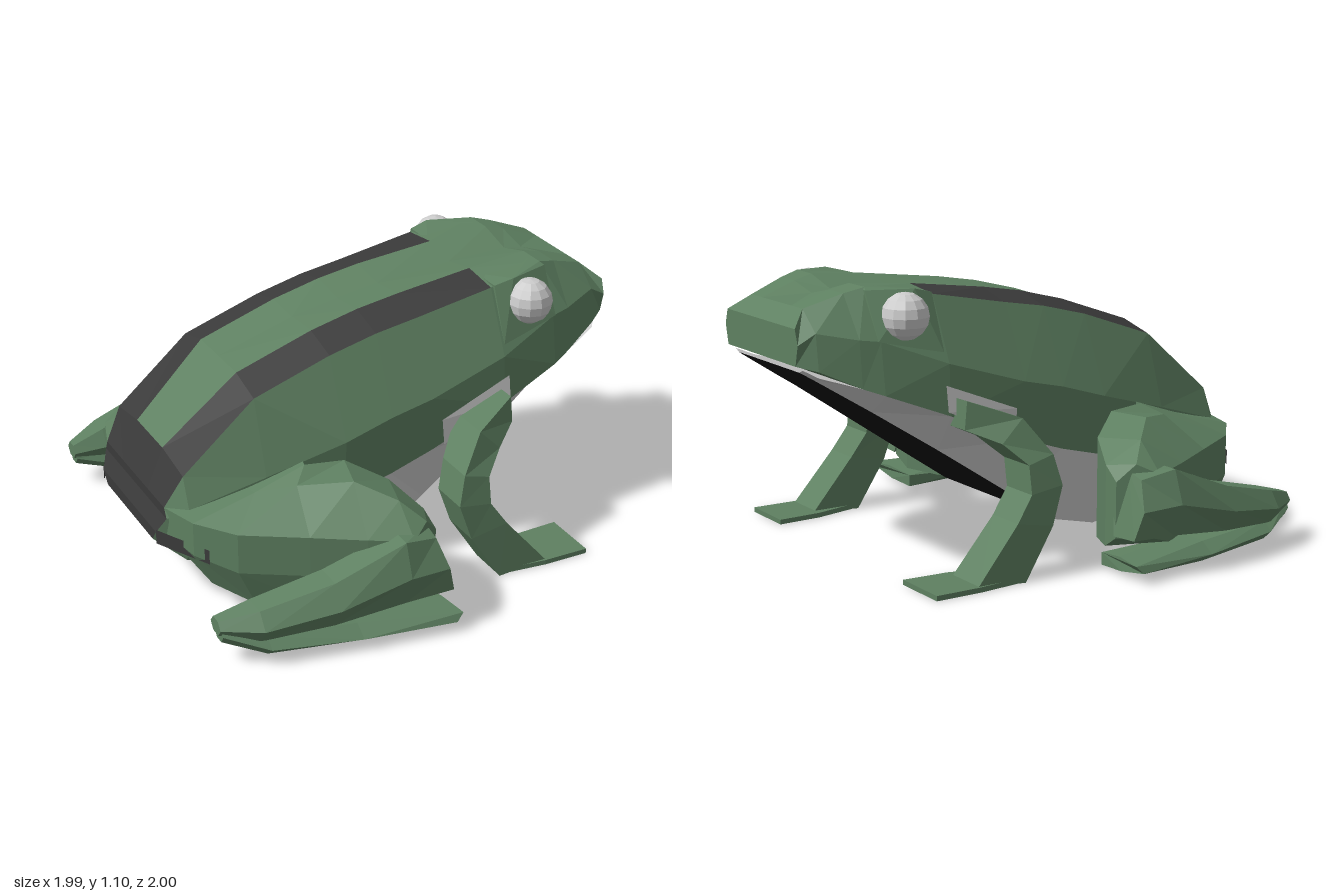
import * as THREE from 'three';
import { ConvexGeometry } from 'three/addons/geometries/ConvexGeometry.js';

const GREEN = 0x5e8061, DARK = 0x3a3a3a, BLACK = 0x101010, GREY = 0xcccccc;

// Torso half sections along the body: x, spine y, then z,y of
// stripe inner edge, stripe outer edge, flank seam, green hem, belly edge
const SECTIONS = [
  [-0.97, 0.42, 0.13, 0.42, 0.30, 0.42, 0.32, 0.38, 0.28, 0.31, 0.24, 0.26],
  [-0.90, 0.58, 0.13, 0.58, 0.33, 0.55, 0.38, 0.43, 0.37, 0.31, 0.34, 0.19],
  [-0.60, 0.85, 0.17, 0.85, 0.33, 0.81, 0.43, 0.52, 0.43, 0.35, 0.39, 0.12],
  [-0.28, 0.95, 0.17, 0.96, 0.33, 0.92, 0.47, 0.61, 0.46, 0.37, 0.40, 0.075],
  [-0.08, 0.99, 0.17, 1.01, 0.33, 0.97, 0.47, 0.67, 0.46, 0.42, 0.40, 0.12],
  [0.10, 1.02, 0.17, 1.04, 0.33, 1.00, 0.47, 0.71, 0.46, 0.48, 0.39, 0.24],
  [0.43, 1.05, 0.16, 1.08, 0.33, 1.06, 0.45, 0.81, 0.46, 0.61, 0.36, 0.46],
  [0.69, 1.06, 0.15, 1.10, 0.27, 1.10, 0.39, 0.91, 0.42, 0.71, 0.31, 0.63],
  [0.77, 1.05, 0.14, 1.08, 0.25, 1.08, 0.37, 0.92, 0.39, 0.74, 0.30, 0.68],
  [0.92, 1.03, 0.12, 1.03, 0.21, 1.03, 0.31, 0.95, 0.33, 0.81, 0.27, 0.775],
  [0.99, 0.97, 0.12, 0.97, 0.28, 0.97, 0.30, 0.91, 0.28, 0.83, 0.25, 0.80],
];

function mesh(name, color, geometry) {
  const material = new THREE.MeshStandardMaterial({ color, flatShading: true, side: THREE.DoubleSide });
  const m = new THREE.Mesh(geometry, material);
  m.name = name;
  return m;
}

function fromTriangles(points) {
  const g = new THREE.BufferGeometry();
  g.setAttribute('position', new THREE.Float32BufferAttribute(points.flat(), 3));
  g.computeVertexNormals();
  return g;
}

// Ribbon of quads between two rows of points
function strip(name, color, a, b) {
  const t = [];
  for (let i = 0; i < a.length - 1; i++) t.push(a[i], b[i], b[i + 1], a[i], b[i + 1], a[i + 1]);
  return mesh(name, color, fromTriangles(t));
}

// Closed skin over a series of rings, with capped ends and outward faces
function loft(name, color, rings) {
  const n = rings[0].length, tris = [];
  for (let i = 0; i < rings.length - 1; i++) {
    for (let j = 0; j < n; j++) {
      const k = (j + 1) % n, p = rings[i], q = rings[i + 1];
      tris.push([p[j], p[k], q[k]], [p[j], q[k], q[j]]);
    }
  }
  const last = rings[rings.length - 1];
  for (let j = 1; j < n - 1; j++) {
    tris.push([rings[0][0], rings[0][j + 1], rings[0][j]], [last[0], last[j], last[j + 1]]);
  }
  const v = (p) => new THREE.Vector3(...p);
  const volume = tris.reduce((s, [a, b, c]) => s + v(a).dot(v(b).cross(v(c))), 0);
  if (volume < 0) tris.forEach((t) => t.reverse());
  return mesh(name, color, fromTriangles(tris.flat()));
}

// Six-sided upright ring, widest at mid height
function hexRing([x, zi, zo, top, bottom]) {
  const w = (zo - zi) * 0.25, mid = (top + bottom) / 2;
  return [[x, top, zi + w], [x, top, zo - w], [x, mid, zo], [x, bottom, zo - w], [x, bottom, zi + w], [x, mid, zi]];
}

function torsoHalf() {
  const g = new THREE.Group();
  g.name = 'torsoHalf';
  const row = (k) => SECTIONS.map((s) => (k === 0 ? [s[0], s[1], 0] : [s[0], s[2 * k + 1], s[2 * k]]));
  const [spine, inner, outer, seam, hem, belly] = [0, 1, 2, 3, 4, 5].map(row);
  const center = (r) => r.map(([x, y]) => [x, y, 0]);
  const part = (name, color, a, b, from, to) => g.add(strip(name, color, a.slice(from, to), b.slice(from, to)));

  // The rump leans back towards its lower edge
  hem[0][0] = belly[0][0] = -1;
  part('rump', DARK, spine, inner, 0, 2);
  part('back', GREEN, spine, inner, 1, 11);
  part('backStripe', DARK, inner, outer, 0, 7);
  part('headTop', GREEN, inner, outer, 6, 11);
  part('flank', GREEN, outer, seam, 0, 11);
  part('lowerFlank', GREEN, seam, hem, 0, 11);

  // Lower jaw drops away from the lip near the front
  belly[10][0] = 0.96;
  const jaw = hem.map((p, i) => (i < 9 ? p : [belly[i][0], belly[i][1] + 0.012, p[2]]));
  part('rumpSide', GREEN, hem, belly, 0, 3);
  part('bellySide', GREY, jaw, belly, 2, 11);
  part('rearBelly', GREY, belly, center(belly), 0, 5);
  part('belly', BLACK, belly, center(belly), 4, 11);
  part('palate', GREEN, hem, center(hem), 7, 11);
  part('jawFloor', GREY, jaw, center(jaw), 8, 11);
  g.add(strip('jawFront', GREY, [jaw[10], [0.96, jaw[10][1], 0]], [belly[10], [0.96, 0.8, 0]]));

  // End caps
  const cap = (name, color, i, rows) => {
    const edge = rows.map((r) => r[i]);
    g.add(strip(name, color, edge, center(edge)));
  };
  cap('tailEnd', DARK, 0, [inner, outer, seam, hem, belly]);
  cap('snoutFront', GREEN, 10, [inner, outer, seam, hem]);
  return g;
}

function eyeArea() {
  const g = new THREE.Group();
  g.name = 'eyeArea';
  const corners = [
    [0.44, 0.85, 0.43], [0.44, 1.07, 0.34], [0.52, 1.09, 0.35], [0.69, 1.10, 0.27], [0.70, 1.09, 0.29],
    [0.70, 0.91, 0.39], [0.44, 0.85, 0.25], [0.70, 0.91, 0.25], [0.44, 1.07, 0.2], [0.69, 1.10, 0.2],
  ];
  g.add(mesh('eyeSocket', GREEN, new ConvexGeometry(corners.map((p) => new THREE.Vector3(...p)))));
  const eye = mesh('eye', GREY, new THREE.SphereGeometry(0.092, 12, 8));
  eye.position.set(0.58, 0.995, 0.38);
  g.add(eye);
  return g;
}

function frontLeg() {
  const g = new THREE.Group();
  g.name = 'frontLeg';
  // Front edge x,y, back edge x,y, inner z, outer z
  const arm = [
    [0.42, 0.57, 0.41, 0.68, 0.42, 0.54],
    [0.31, 0.52, 0.22, 0.61, 0.44, 0.63],
    [0.23, 0.44, 0.12, 0.47, 0.52, 0.69],
    [0.23, 0.33, 0.09, 0.35, 0.54, 0.71],
    [0.30, 0.23, 0.14, 0.20, 0.55, 0.72],
    [0.48, 0.02, 0.27, 0.00, 0.55, 0.73],
  ].map(([fx, fy, bx, by, zi, zo]) => [[fx, fy, zi], [fx, fy, zo], [bx, by, zo], [bx, by, zi]]);
  g.add(loft('arm', GREEN, arm));
  const hand = [[0.28, 0.56, 0.72], [0.48, 0.51, 0.74], [0.67, 0.50, 0.74]]
    .map(([x, zi, zo]) => [[x, 0.02, zi], [x, 0.02, zo], [x, 0, zo], [x, 0, zi]]);
  g.add(loft('hand', GREEN, hand));
  // Pale patch where the arm meets the body
  g.add(strip('shoulderPatch', GREY,
    [[0.14, 0.61, 0.475], [0.45, 0.73, 0.46]], [[0.15, 0.50, 0.475], [0.45, 0.63, 0.475]]));
  return g;
}

function hindLeg() {
  const g = new THREE.Group();
  g.name = 'hindLeg';
  // Inner edge x,z,top, outer edge x,z,top, then ridge height and underside height
  const thigh = [
    [-0.44, 0.38, 0.57, -0.97, 0.30, 0.42, 0.49, 0.20],
    [-0.46, 0.47, 0.56, -0.92, 0.46, 0.42, 0.49, 0.14],
    [-0.30, 0.49, 0.55, -0.80, 0.60, 0.41, 0.52, 0.08],
    [-0.16, 0.59, 0.48, -0.57, 0.74, 0.41, 0.55, 0.08],
    [-0.09, 0.74, 0.41, -0.38, 0.84, 0.40, 0.50, 0.09],
    [-0.08, 0.82, 0.36, -0.22, 0.91, 0.39, 0.43, 0.14],
  ].map(([xi, zi, yi, xo, zo, yo, yr, yb]) => {
    const mix = (t, y) => [xi + (xo - xi) * t, y, zi + (zo - zi) * t];
    return [mix(0, yi), mix(0.45, yr), mix(1, yo), mix(1, (yo + yb) / 2), mix(0.85, yb), mix(0, yb)];
  });
  g.add(loft('thigh', GREEN, thigh));
  // Shin starts at a slanted knee face and tapers back to the heel
  const knee = [[-0.13, 0.40, 0.83], [-0.13, 0.38, 0.91], [-0.10, 0.27, 0.97],
    [-0.07, 0.16, 0.95], [-0.07, 0.15, 0.82], [-0.09, 0.27, 0.79]];
  g.add(loft('shin', GREEN, [knee, ...[
    [-0.27, 0.79, 0.985, 0.41, 0.15], [-0.55, 0.74, 0.965, 0.30, 0.12],
    [-0.83, 0.71, 0.90, 0.23, 0.10], [-0.97, 0.72, 0.81, 0.19, 0.13],
  ].map(hexRing)]));
  // Foot widens to a slanted toe edge, raised on its outer side
  const toe = [[-0.09, 0.06, 0.72], [-0.07, 0.08, 0.86], [-0.05, 0.075, 0.99],
    [-0.08, 0.045, 1.0], [-0.08, 0.02, 0.86], [-0.09, 0.01, 0.72]];
  g.add(loft('foot', GREEN, [...[
    [-0.96, 0.73, 0.81, 0.16, 0.10], [-0.80, 0.72, 0.89, 0.11, 0.035], [-0.45, 0.71, 0.95, 0.09, 0.01],
  ].map(hexRing), toe]));
  // Dark mark at the root of the thigh
  g.add(strip('thighMark', DARK,
    [[-1, 0.32, 0.28], [-0.97, 0.32, 0.34], [-0.88, 0.32, 0.515]],
    [[-1, 0.26, 0.28], [-0.97, 0.26, 0.34], [-0.88, 0.26, 0.515]]));
  return g;
}

export function createModel() {
  const model = new THREE.Group();
  model.name = 'frog';
  // The head points along +x, so its right half lies on +z
  for (const [name, sign] of [['rightHalf', 1], ['leftHalf', -1]]) {
    const half = new THREE.Group();
    half.name = name;
    half.add(torsoHalf(), eyeArea(), frontLeg(), hindLeg());
    half.scale.z = sign;
    model.add(half);
  }
  return model;
}
